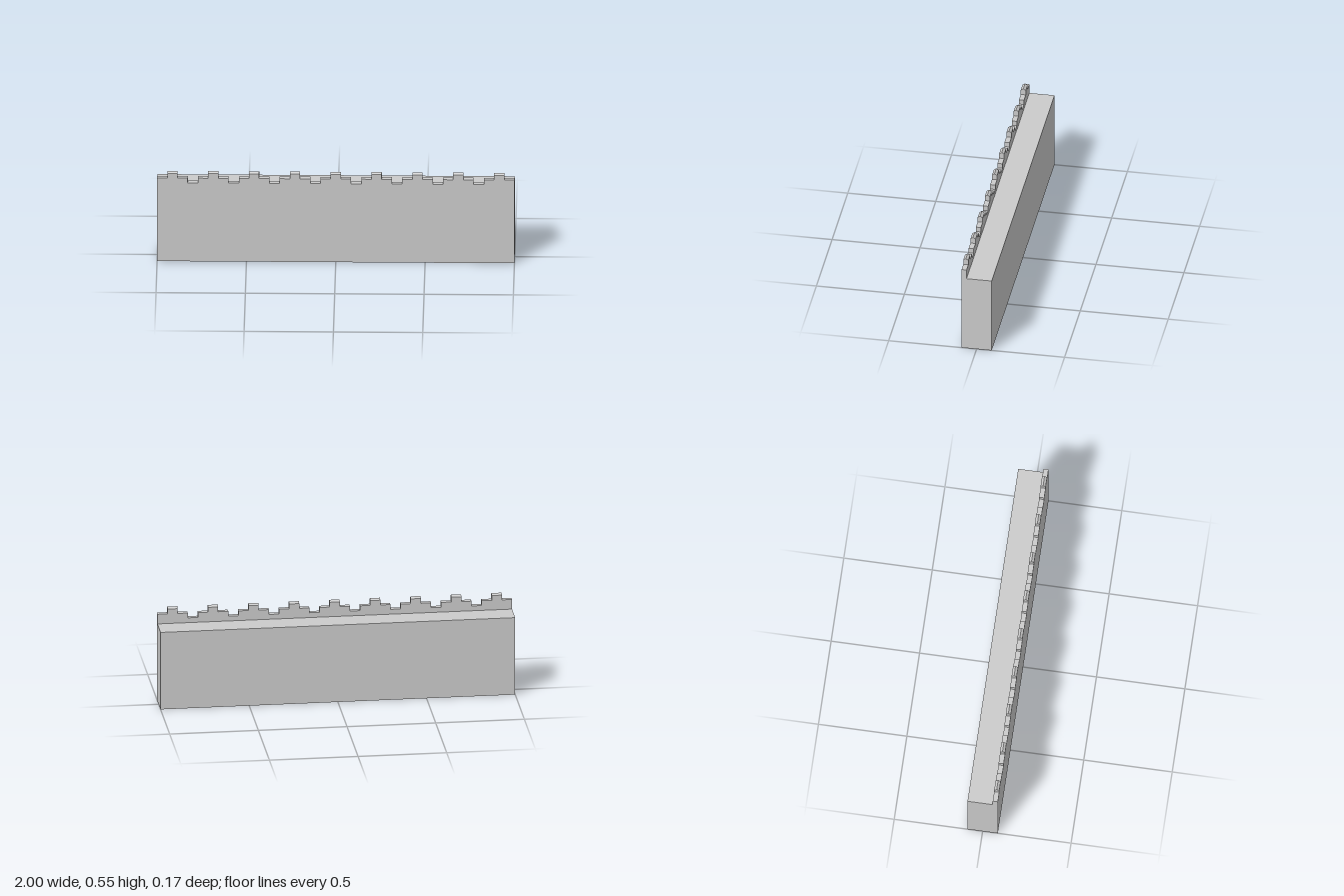
import * as THREE from 'three';

const U = 2 / 35; // grid unit: the wall is 35 units long, 3 deep
const FRONT = 1.5, INNER = 1, BACK = -1.5; // z planes in units
const WALK = 8, CRENEL = 8.5, SHOULDER = 9, EAVE = 9.5, PEAK = 9.67; // heights in units

const material = new THREE.MeshStandardMaterial({ color: 0xcccccc, flatShading: true });

// Sweeps a (z, y) cross-section along x, centred on x = 0
function sweep(profile, length) {
  const shape = new THREE.Shape(profile.map(([z, y]) => new THREE.Vector2(z * U, y * U)));
  const geometry = new THREE.ExtrudeGeometry(shape, { depth: length * U, bevelEnabled: false });
  geometry.translate(0, 0, -length * U / 2);
  return geometry.rotateY(-Math.PI / 2);
}

function addPart(parent, name, geometry, x = 0) {
  const mesh = new THREE.Mesh(geometry, material);
  mesh.name = name;
  mesh.position.x = x;
  parent.add(mesh);
}

export function createModel() {
  const model = new THREE.Group();
  model.name = 'battlementWall';

  // Wall with the walkway behind a low parapet
  addPart(model, 'wall', sweep([
    [BACK, 0], [FRONT, 0], [FRONT, CRENEL], [INNER, CRENEL], [INNER, WALK], [BACK, WALK],
  ], 35));

  // Stepped merlons: a wide shoulder carrying a narrow cap with a ridged top
  const shoulder = sweep([
    [INNER, CRENEL], [FRONT, CRENEL], [FRONT, SHOULDER], [INNER, SHOULDER],
  ], 3);
  const cap = sweep([
    [INNER, SHOULDER], [FRONT, SHOULDER], [FRONT, EAVE], [(INNER + FRONT) / 2, PEAK], [INNER, EAVE],
  ], 1);
  for (let i = -4; i <= 4; i++) {
    const merlon = new THREE.Group();
    merlon.name = 'merlon';
    merlon.position.x = i * 4 * U;
    addPart(merlon, 'merlonShoulder', shoulder);
    addPart(merlon, 'merlonCap', cap);
    model.add(merlon);
  }
  return model;
}
